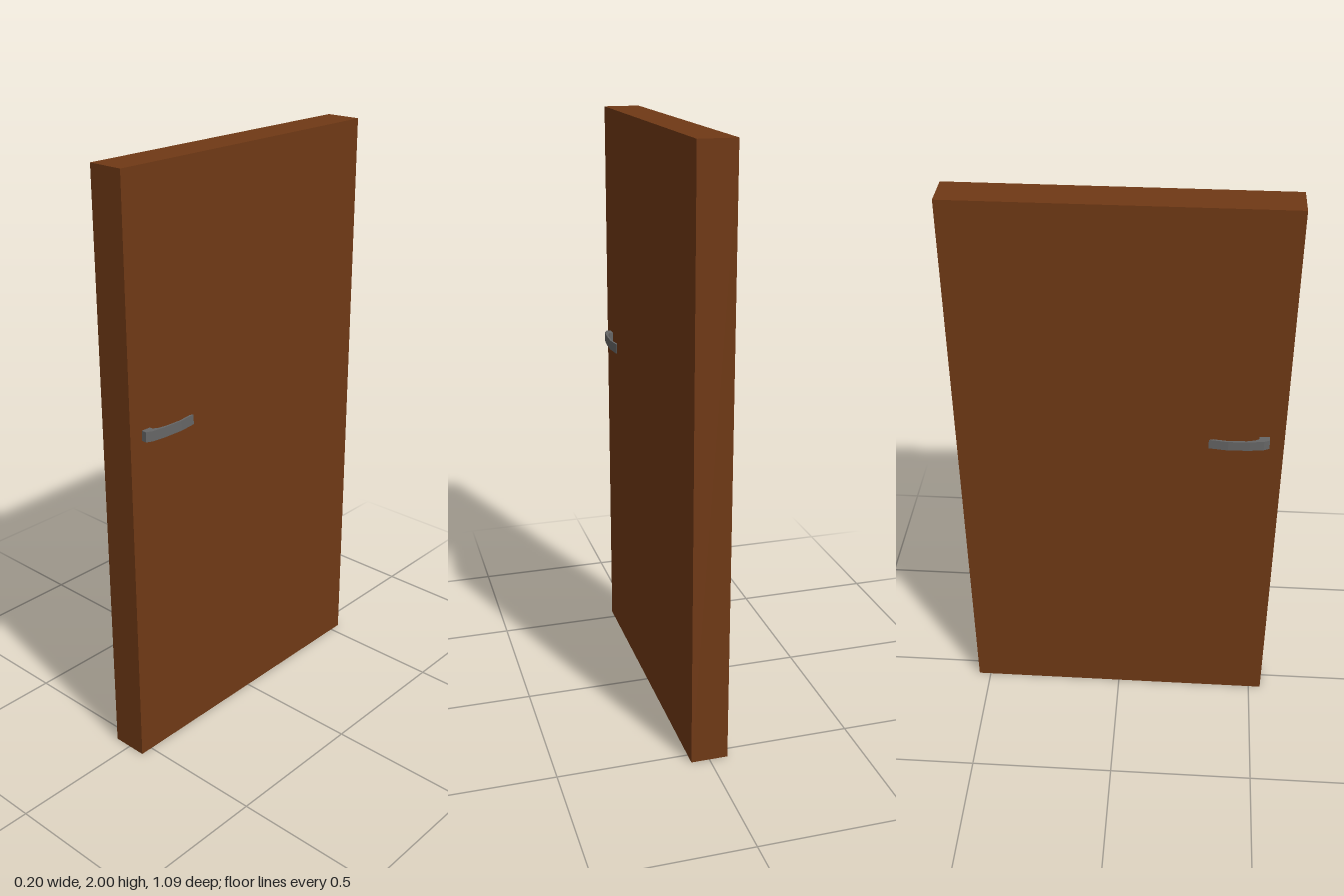
import * as THREE from 'three';

const wood = new THREE.MeshStandardMaterial({ color: 0x703915 });
const metal = new THREE.MeshStandardMaterial({ color: 0x666666, flatShading: true });

// Lever outline seen from above, as [x, z]: out from the door, then back along it
const leverOutline = [
  [0.055, 0.495], [0.08, 0.495], [0.089, 0.476], [0.095, 0.43], [0.098, 0.36],
  [0.09, 0.296], [0.085, 0.31], [0.092, 0.36], [0.089, 0.42], [0.083, 0.446],
  [0.074, 0.461], [0.055, 0.461],
];

// side is +1 for the left face of the door, -1 for the right face
function createHandle(side) {
  const shape = new THREE.Shape(leverOutline.map(([x, z]) => new THREE.Vector2(side * x, -z)));
  const geometry = new THREE.ExtrudeGeometry(shape, { depth: 0.034, bevelEnabled: false });
  geometry.rotateX(-Math.PI / 2);
  const handle = new THREE.Mesh(geometry, metal);
  handle.position.y = 1.159;
  handle.name = side > 0 ? 'leftHandle' : 'rightHandle';
  return handle;
}

export function createModel() {
  const model = new THREE.Group();
  model.name = 'door';

  // Plain slab
  const panel = new THREE.Mesh(new THREE.BoxGeometry(0.124, 2, 1.087), wood);
  panel.position.y = 1;
  panel.name = 'doorPanel';
  model.add(panel);

  // One lever handle on each face
  for (const side of [1, -1]) model.add(createHandle(side));
  return model;
}
